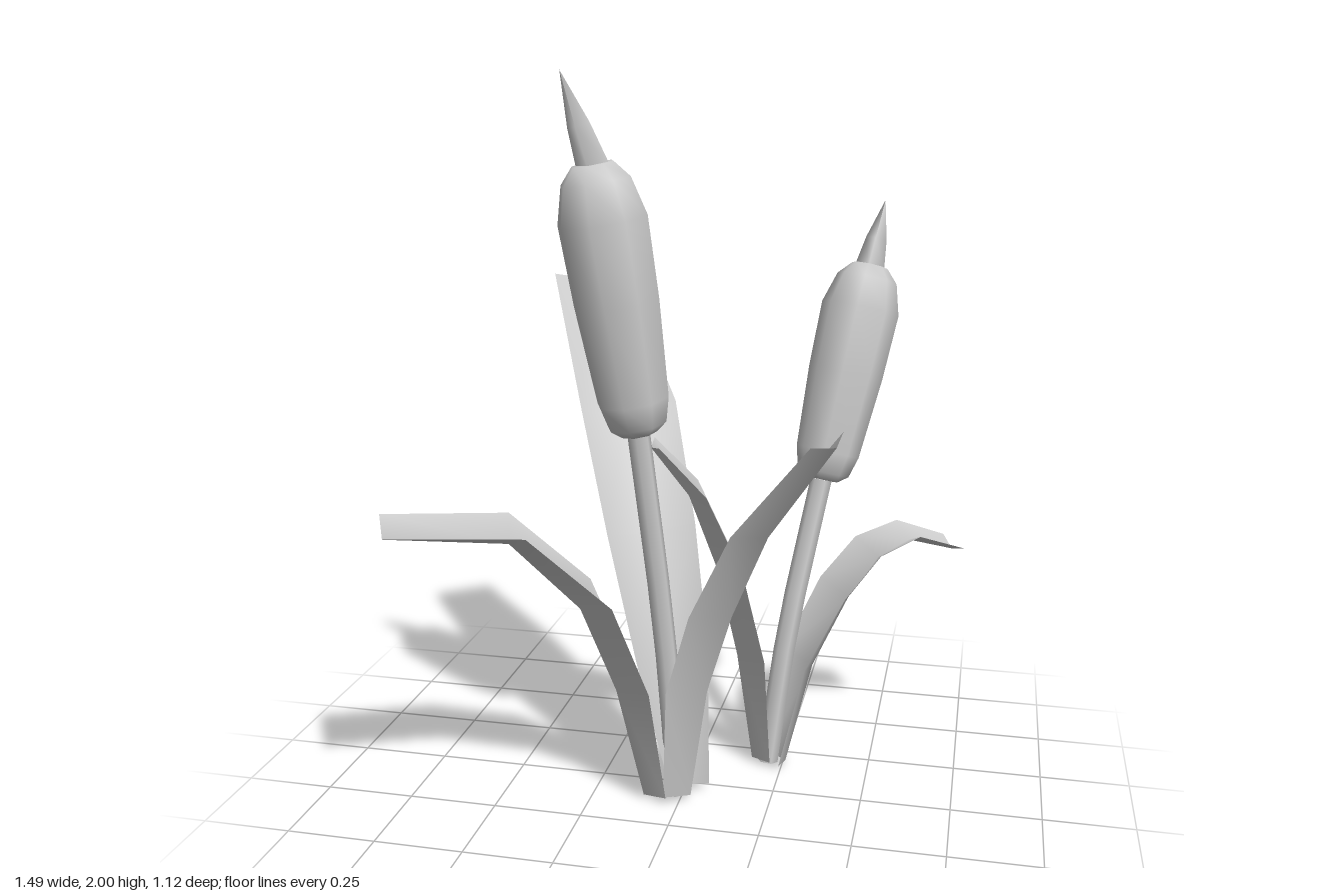
import * as THREE from 'three';

const material = new THREE.MeshStandardMaterial({ color: 0xcccccc });
const leafMaterial = new THREE.MeshStandardMaterial({ color: 0xcccccc, side: THREE.DoubleSide });
const UP = new THREE.Vector3(0, 1, 0);
const vec = (p) => new THREE.Vector3(p[0], p[1], p[2]);

function addMesh(parent, name, geometry, mat = material) {
  const mesh = new THREE.Mesh(geometry, mat);
  mesh.name = name;
  parent.add(mesh);
  return mesh;
}

// Blade folded along its spine, tightest at the base; each row is [x, y, z, half width]
function leafGeometry(rows) {
  const spine = rows.map(vec);
  const last = spine.length - 1;
  const d = spine[last].clone().sub(spine[0]).setY(0).normalize();
  const side = new THREE.Vector3(d.z, 0, -d.x);
  const positions = [], index = [];
  spine.forEach((p, i) => {
    const tangent = spine[Math.min(i + 1, last)].clone().sub(spine[Math.max(i - 1, 0)]).normalize();
    const inward = tangent.cross(side).normalize();
    const w = rows[i][3];
    const fold = w * THREE.MathUtils.lerp(0.8, 0.32, i / last);
    for (const s of [-1, 0, 1]) {
      const v = p.clone().addScaledVector(side, s * w).addScaledVector(inward, Math.abs(s) * fold);
      positions.push(v.x, v.y, v.z);
    }
    if (i < last) for (const c of [0, 1]) {
      const a = i * 3 + c;
      index.push(a, a + 1, a + 3, a + 1, a + 4, a + 3);
    }
  });
  const g = new THREE.BufferGeometry();
  g.setAttribute('position', new THREE.Float32BufferAttribute(positions, 3));
  g.setIndex(index);
  g.computeVertexNormals();
  return g;
}

// Lathe of [radius, fraction of length] points, standing from one point to another
function spindle(parent, name, from, to, profile, sides) {
  const a = vec(from), dir = vec(to).sub(a), length = dir.length();
  const points = profile.map(([r, t]) => new THREE.Vector2(r, t * length));
  const mesh = addMesh(parent, name, new THREE.LatheGeometry(points, sides));
  mesh.position.copy(a);
  mesh.quaternion.setFromUnitVectors(UP, dir.normalize());
}

const HEAD = [[0, 0], [0.05, 0], [0.08, 0.035], [0.097, 0.13], [0.114, 0.5],
  [0.119, 0.8], [0.092, 0.94], [0.055, 1], [0, 1]];
const SPIKE = [[0.044, 0], [0.03, 0.45], [0, 1]];

function reed(name, { stem, bottom, top, tip, scale }) {
  const group = new THREE.Group();
  group.name = name;
  const curve = new THREE.CatmullRomCurve3([...stem, bottom].map(vec));
  addMesh(group, 'stem', new THREE.TubeGeometry(curve, 5, 0.031, 6));
  // closed foot of the stem
  const foot = addMesh(group, 'stemFoot', new THREE.CircleGeometry(0.031, 6));
  foot.position.copy(vec(stem[0]));
  foot.rotation.x = Math.PI / 2;
  spindle(group, 'seedHead', bottom, top, HEAD.map(([r, t]) => [r * scale, t]), 8);
  const base = vec(top).lerp(vec(bottom), 0.02).toArray();
  spindle(group, 'spike', base, tip, SPIKE, 4);
  return group;
}

export function createModel() {
  const model = new THREE.Group();
  model.name = 'reeds';

  // two stalks with seed heads
  const tall = reed('tallReed', {
    stem: [[-0.015, 0.01, 0.07], [-0.045, 0.5, 0.095]],
    bottom: [-0.1, 1.08, 0.145], top: [-0.197, 1.775, 0.2], tip: [-0.265, 2, 0.24], scale: 1,
  });
  const short = reed('shortReed', {
    stem: [[0.205, 0.01, -0.175], [0.25, 0.4, -0.225]],
    bottom: [0.328, 0.85, -0.323], top: [0.435, 1.455, -0.485], tip: [0.47, 1.64, -0.53], scale: 0.95,
  });
  model.add(tall, short);

  // leaves around the tall stalk
  const tallLeaves = {
    frontRightLeaf: [[-0.1, 0.02, 0.125, 0.06], [-0.165, 0.35, 0.165, 0.1], [-0.25, 0.6, 0.21, 0.122],
      [-0.41, 0.805, 0.31, 0.12], [-0.695, 0.845, 0.46, 0.11]],
    backRightLeaf: [[-0.005, 0.02, 0.04, 0.06], [-0.075, 0.4, 0, 0.11], [-0.155, 0.72, -0.1, 0.135],
      [-0.25, 1.03, -0.25, 0.147], [-0.43, 1.39, -0.51, 0.11]],
    frontLeftLeaf: [[0.03, 0.02, 0.1, 0.065], [0.08, 0.35, 0.115, 0.105], [0.15, 0.58, 0.13, 0.122],
      [0.25, 0.82, 0.16, 0.122], [0.43, 1.09, 0.23, 0.098]],
  };
  // leaves around the short stalk
  const shortLeaves = {
    innerLeaf: [[0.16, 0.02, -0.165, 0.055], [0.115, 0.35, -0.152, 0.095], [0.055, 0.62, -0.138, 0.108],
      [-0.02, 0.84, -0.107, 0.095], [-0.12, 0.985, -0.068, 0.066]],
    outerLeaf: [[0.258, 0.01, -0.185, 0.055], [0.325, 0.3, -0.24, 0.09], [0.42, 0.5, -0.3, 0.1],
      [0.5, 0.615, -0.345, 0.097], [0.585, 0.665, -0.375, 0.085], [0.71, 0.63, -0.425, 0.072]],
  };
  for (const [parent, leaves] of [[tall, tallLeaves], [short, shortLeaves]])
    for (const [name, rows] of Object.entries(leaves)) addMesh(parent, name, leafGeometry(rows), leafMaterial);

  return model;
}
